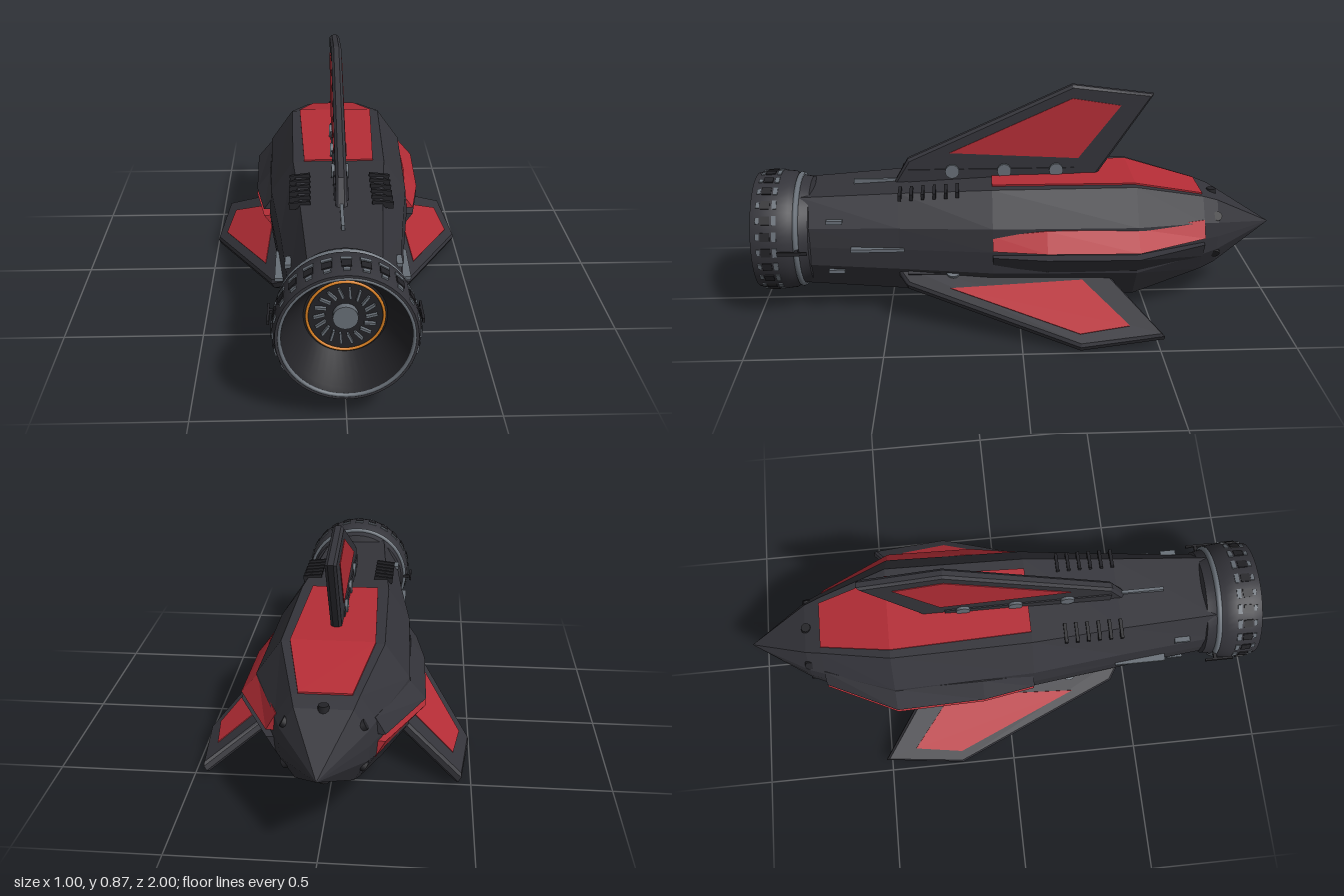
import * as THREE from 'three';
import { toCreasedNormals } from 'three/addons/utils/BufferGeometryUtils.js';

const mat = (name, color) => Object.assign(new THREE.MeshStandardMaterial({ color }), { name });
const hull = mat('dark hull', 0x34343a);
const black = mat('black trim', 0x232327);
const red = mat('red panel', 0xb52d36);
const grey = mat('grey metal', 0x686f77);
const orange = mat('orange glow', 0xd98022);

function add(parent, name, geometry, material, x = 0, y = 0, z = 0) {
  const mesh = new THREE.Mesh(geometry, material);
  mesh.name = name;
  mesh.position.set(x, y, z);
  parent.add(mesh);
  return mesh;
}

// Flat-faceted skin through sections [z, points], points counter-clockwise seen from +z
function loft(sections) {
  const v = [];
  const n = sections[0][1].length;
  const put = (s, i) => v.push(...s[1][i % n], s[0]);
  for (let k = 0; k + 1 < sections.length; k++) {
    const a = sections[k], b = sections[k + 1];
    for (let i = 0; i < n; i++) {
      put(a, i); put(a, i + 1); put(b, i + 1);
      put(a, i); put(b, i + 1); put(b, i);
    }
  }
  const first = sections[0], last = sections[sections.length - 1];
  for (let i = 1; i + 1 < n; i++) {
    put(first, 0); put(first, i + 1); put(first, i);
    put(last, 0); put(last, i); put(last, i + 1);
  }
  const g = new THREE.BufferGeometry();
  g.setAttribute('position', new THREE.Float32BufferAttribute(v, 3));
  g.computeVertexNormals();
  return g;
}

// Revolved part around z from [radius, z] points
function lathe(points, segments = 48) {
  const g = new THREE.LatheGeometry(points.map(p => new THREE.Vector2(...p)), segments);
  g.rotateX(Math.PI / 2);
  return toCreasedNormals(g, 0.5);
}

// Extruded plate with its outline in [z, y], centred on x = 0
function plate(outline, thickness, bevel = 0) {
  const g = new THREE.ExtrudeGeometry(new THREE.Shape(outline.map(p => new THREE.Vector2(...p))), {
    depth: thickness - 2 * bevel, bevelEnabled: bevel > 0, bevelSize: bevel,
    bevelThickness: bevel, bevelOffset: -bevel, bevelSegments: 1,
  });
  g.translate(0, 0, bevel - thickness / 2);
  g.rotateY(-Math.PI / 2);
  return g;
}

// Ten-sided hull section of half width w and half height h
function hullSection(w, h) {
  const q = [[w, 0], [0.97 * w, 0.42 * h], [0.65 * w, h]];
  const m = q.slice().reverse().map(([x, y]) => [-x, y]);
  return [...q, ...m, [-q[1][0], -q[1][1]], [-q[2][0], -h], [q[2][0], -h], [q[1][0], -q[1][1]]];
}

function makeFin() {
  const fin = new THREE.Group();
  fin.name = 'fin';
  add(fin, 'finBlade', plate([[0.48, 0.18], [0.42, 0.285], [-0.21, 0.57], [-0.52, 0.53], [-0.3, 0.2]], 0.04, 0.01), hull);
  add(fin, 'finPanels', plate([[0.26, 0.31], [-0.21, 0.52], [-0.395, 0.49], [-0.235, 0.283]], 0.046), red);
  add(fin, 'finRoot', new THREE.BoxGeometry(0.05, 0.06, 0.64), hull, 0, 0.215, 0.1);
  for (const z of [0.25, 0.05, -0.15]) {
    const bolt = add(fin, 'finBolt', new THREE.CylinderGeometry(0.027, 0.027, 0.062, 16), grey, 0, 0.237, z);
    bolt.rotation.z = Math.PI / 2;
  }
  return fin;
}

// One half of the plating; turned half a revolution for the other
function makeArmour() {
  const half = new THREE.Group();
  half.name = 'armour';
  const slab = (z, w, y) => [z, [[w, y - 0.04], [w, y], [-w, y], [-w, y - 0.04]]];
  add(half, 'broadPanel', loft([slab(-0.71, 0.09, 0.158), slab(-0.44, 0.15, 0.224), slab(0.1, 0.13, 0.218)]), red);
  const wedge = (z, out, inn, top) => [z, [[out, 0.013], [inn, top], [inn - 0.04, top], [inn - 0.04, 0.013]]];
  const strip = [wedge(-0.71, 0.2, 0.165, 0.075), wedge(-0.44, 0.33, 0.268, 0.085), wedge(-0.1, 0.322, 0.268, 0.083), wedge(0.1, 0.288, 0.255, 0.06)];
  add(half, 'sideStripUpper', loft(strip), red);
  const flipped = strip.map(([z, p]) => [z, p.map(([x, y]) => [x, -y]).reverse()]);
  add(half, 'sideStripLower', loft(flipped), hull);
  return half;
}

function makeNozzle() {
  const nozzle = new THREE.Group();
  nozzle.name = 'nozzle';
  add(nozzle, 'nozzleShell', lathe([[0.17, 0.78], [0.205, 0.79], [0.215, 0.84], [0.228, 0.86], [0.232, 0.9], [0.232, 0.96], [0.222, 1], [0.206, 1]]), hull);
  add(nozzle, 'nozzleBore', lathe([[0.206, 1], [0.195, 0.97], [0.135, 0.86], [0.001, 0.855]]), black);
  add(nozzle, 'nozzleLip', new THREE.TorusGeometry(0.209, 0.006, 8, 48), grey, 0, 0, 0.996);
  add(nozzle, 'nozzleCollar', new THREE.TorusGeometry(0.214, 0.011, 8, 48), grey, 0, 0, 0.835);
  add(nozzle, 'glowRing', new THREE.TorusGeometry(0.124, 0.005, 8, 48), orange, 0, 0, 0.866);
  const hub = add(nozzle, 'turbineHub', new THREE.CylinderGeometry(0.041, 0.041, 0.03, 24), grey, 0, 0, 0.865);
  hub.rotation.x = Math.PI / 2;
  // Turbine blades, slightly swept
  for (let i = 0; i < 18; i++) {
    const a = i * Math.PI / 9;
    const blade = add(nozzle, 'turbineBlade', new THREE.BoxGeometry(0.038, 0.008, 0.014), grey, 0.084 * Math.cos(a), 0.084 * Math.sin(a), 0.864);
    blade.rotation.z = a + 0.25;
  }
  // Clamps around the rim
  for (let i = 0; i < 24; i++) {
    const a = i * Math.PI / 12;
    const clamp = (name, w, d, m, r, z) => {
      add(nozzle, name, new THREE.BoxGeometry(0.012, w, d), m, r * Math.cos(a), r * Math.sin(a), z).rotation.z = a;
    };
    clamp('rimClamp', 0.032, 0.035, black, 0.229, 0.943);
    clamp('rimTab', 0.036, 0.016, grey, 0.229, 0.91);
    clamp('rearTab', 0.022, 0.014, grey, 0.226, 0.972);
  }
  for (const s of [-1, 1]) {
    add(nozzle, 'sideRod', new THREE.BoxGeometry(0.008, 0.014, 0.11), black, s * 0.246, 0, 0.845);
    add(nozzle, 'rodMount', new THREE.BoxGeometry(0.035, 0.012, 0.012), black, s * 0.23, 0, 0.83);
  }
  return nozzle;
}

export function createModel() {
  const model = new THREE.Group();
  model.name = 'rocket';
  const ship = new THREE.Group();
  ship.name = 'ship';
  ship.position.y = 0.3;
  model.add(ship);

  // Hull from nose tip to nozzle
  const stations = [[-1, 0.001, 0.001], [-0.77, 0.15, 0.13], [-0.71, 0.175, 0.152], [-0.44, 0.28, 0.218],
    [0.1, 0.265, 0.212], [0.45, 0.222, 0.195], [0.82, 0.185, 0.175]];
  add(ship, 'hull', loft(stations.map(([z, w, h]) => [z, hullSection(w, h)])), hull);

  for (const turn of [0, Math.PI]) {
    const half = makeArmour();
    half.rotation.z = turn;
    ship.add(half);
  }
  for (let i = 0; i < 3; i++) {
    const fin = makeFin();
    fin.rotation.z = i * Math.PI * 2 / 3;
    ship.add(fin);
  }
  ship.add(makeNozzle());

  // Studs around the nose
  for (let i = 0; i < 6; i++) {
    const a = Math.PI / 6 + i * Math.PI / 3;
    const r = i % 3 === 1 ? 0.128 : 0.144;
    const stud = add(ship, 'noseStud', new THREE.CylinderGeometry(0.018, 0.022, 0.03, 12), black, r * Math.cos(a), r * Math.sin(a), -0.765);
    stud.rotation.z = a - Math.PI / 2;
  }

  // Cooling ribs, side rails and small hatches
  for (const s of [-1, 1]) {
    for (let i = 0; i < 6; i++) {
      const rib = add(ship, 'coolingRib', new THREE.BoxGeometry(0.075, 0.024, 0.012), black, s * 0.145, 0.203 - i * 0.002, 0.23 + i * 0.043);
      rib.rotation.z = -s * 0.12;
    }
    add(ship, 'sideRail', new THREE.BoxGeometry(0.04, 0.012, 0.2), grey, s * 0.212, 0, 0.53);
    add(ship, 'endRail', new THREE.BoxGeometry(0.012, 0.03, 0.2), grey, 0, s * 0.189, 0.53);
    for (const t of [-1, 1]) {
      add(ship, 'hatch', new THREE.BoxGeometry(0.02, 0.014, 0.06), grey, s * 0.184, t * 0.1, 0.69);
    }
  }
  return model;
}
